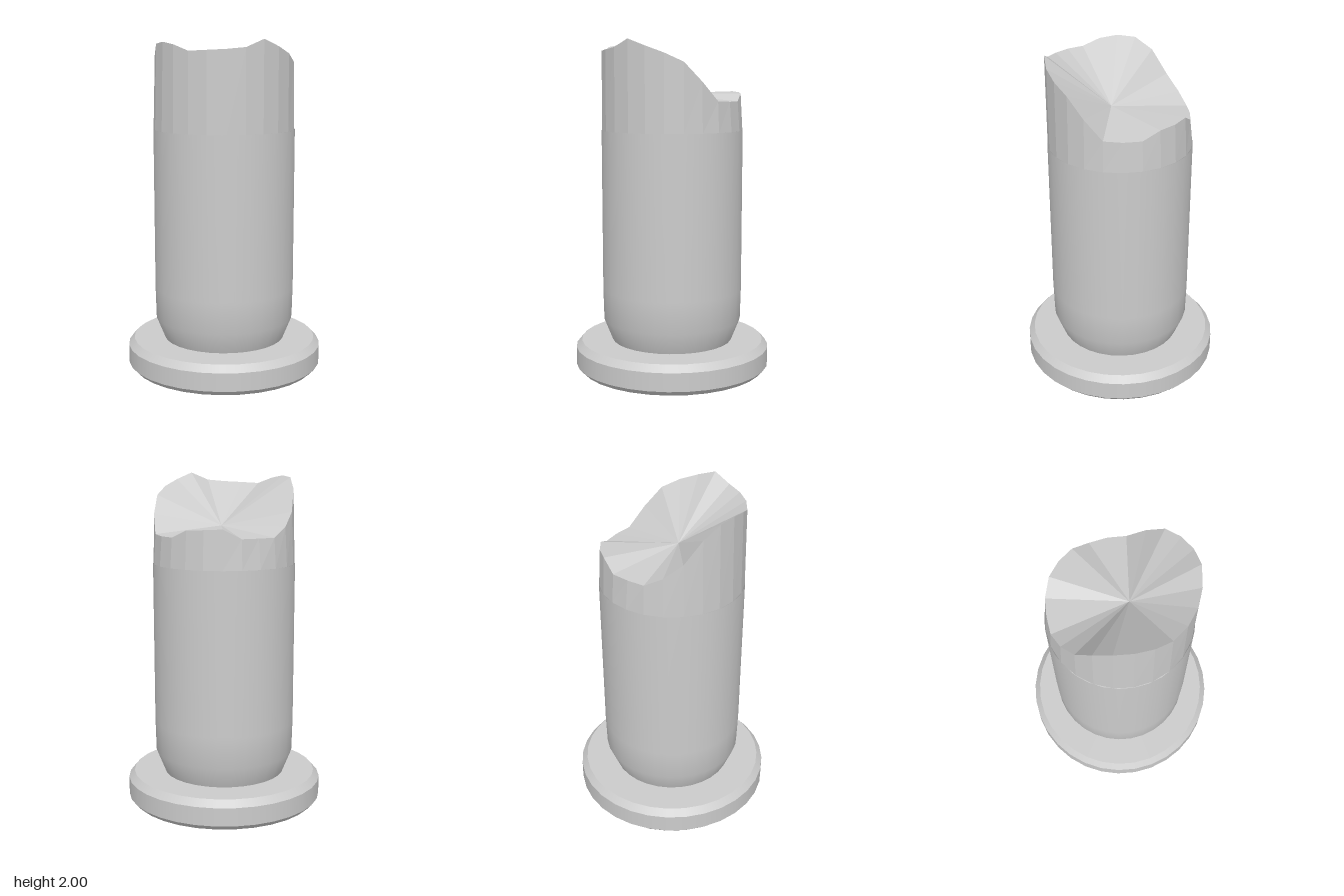
import * as THREE from 'three';

const material = new THREE.MeshStandardMaterial({ color: 0xcccccc, side: THREE.DoubleSide });
const flatMaterial = new THREE.MeshStandardMaterial({ color: 0xcccccc, side: THREE.DoubleSide, flatShading: true });

// Revolved strip through [radius, height] points
function lathe(name, profile, segments = 32) {
  const points = profile.map(([r, y]) => new THREE.Vector2(r, y));
  const mesh = new THREE.Mesh(new THREE.LatheGeometry(points, segments), material);
  mesh.name = name;
  return mesh;
}

// Snapped-off end: ring of walls up to a jagged rim, then a fan into the hollow
function brokenTop() {
  // Rim heights every 15 degrees, from the front round through +x
  const heights = [2.0, 1.96, 1.92, 1.87, 1.76, 1.65, 1.645, 1.645, 1.69, 1.695, 1.7, 1.645,
    1.645, 1.645, 1.7, 1.78, 1.91, 1.975, 1.985, 1.97, 1.935, 1.94, 1.945, 1.955];
  const n = heights.length;
  const positions = [], index = [];
  heights.forEach((y, i) => {
    const a = (i / n) * Math.PI * 2;
    const s = Math.sin(a), c = Math.cos(a);
    const rim = 0.412 + 0.013 * Math.max(0, c);
    // The back of the rim is chipped straight
    const z = Math.max(rim * c, -0.405);
    positions.push(0.425 * s, 1.47, 0.425 * c, rim * s, y, z);
    const b = 2 * i, d = 2 * ((i + 1) % n);
    index.push(b, d, d + 1, b, d + 1, b + 1, b + 1, d + 1, 2 * n);
  });
  positions.push(-0.01, 1.69, 0.05);
  const geometry = new THREE.BufferGeometry();
  geometry.setAttribute('position', new THREE.Float32BufferAttribute(positions, 3));
  geometry.setIndex(index);
  const flat = geometry.toNonIndexed();
  flat.computeVertexNormals();
  const mesh = new THREE.Mesh(flat, flatMaterial);
  mesh.name = 'brokenTop';
  return mesh;
}

export function createModel() {
  const model = new THREE.Group();
  model.name = 'brokenColumn';

  // Round plinth, bevelled at both edges and open underneath
  const base = new THREE.Group();
  base.name = 'base';
  const steps = [[0.567, 0], [0.595, 0.03], [0.595, 0.14], [0.56, 0.18], [0, 0.18]];
  const names = ['lowerBevel', 'baseWall', 'upperBevel', 'baseTop'];
  names.forEach((name, i) => base.add(lathe(name, [steps[i], steps[i + 1]])));
  model.add(base);

  // Shaft narrowing at its foot
  model.add(lathe('shaft', [[0.37, 0.18], [0.422, 0.31], [0.427, 0.5], [0.427, 1.47]]));
  model.add(brokenTop());
  return model;
}
